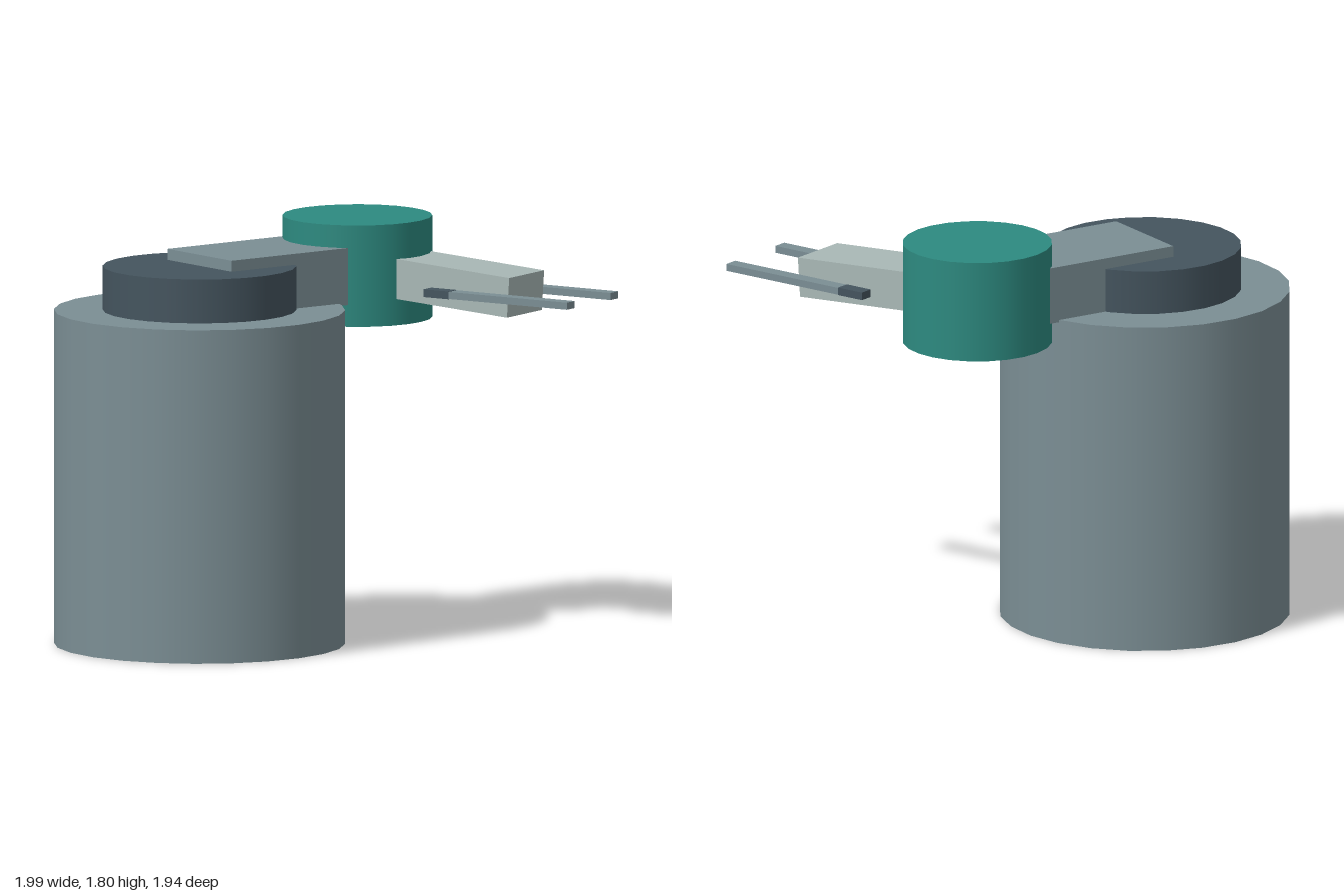
import * as THREE from 'three';

const paint = (name, color) => {
  const m = new THREE.MeshStandardMaterial({ color });
  m.name = name;
  return m;
};

export function createModel() {
  const steel = paint('steel grey', 0x7b8e94);
  const dark = paint('dark slate', 0x44545e);
  const teal = paint('teal', 0x2d8a80);
  const pale = paint('pale grey', 0xa9b8b6);

  const model = new THREE.Group();
  model.name = 'robotArm';

  const add = (parent, name, geometry, material, x, y, z) => {
    const mesh = new THREE.Mesh(geometry, material);
    mesh.name = name;
    mesh.position.set(x, y, z);
    parent.add(mesh);
    return mesh;
  };
  const drum = (r, h) => new THREE.CylinderGeometry(r, r, h, 24);
  // Box that starts at its own origin and runs along +z
  const beam = (w, h, l) => new THREE.BoxGeometry(w, h, l).translate(0, 0, l / 2);

  const baseX = -0.368, baseZ = -0.343;
  const elbowX = 0.491, elbowY = 1.577, elbowZ = -0.259;

  // Pedestal and shoulder turntable
  add(model, 'pedestal', drum(0.632, 1.46), steel, baseX, 0.73, baseZ);
  add(model, 'shoulder', drum(0.42, 0.192), dark, baseX, 1.556, baseZ);

  // Upper arm from the shoulder axis to the elbow axis
  const dx = elbowX - baseX, dz = elbowZ - baseZ;
  const arm = add(model, 'upperArm', beam(0.457, 0.25, Math.hypot(dx, dz)), steel, baseX, 1.575, baseZ);
  arm.rotation.y = Math.atan2(dx, dz);

  // Elbow drum
  add(model, 'elbow', drum(0.325, 0.444), teal, elbowX, elbowY, elbowZ);

  // Forearm and gripper, swung about the elbow
  const gripper = new THREE.Group();
  gripper.name = 'forearmAndGripper';
  gripper.position.set(elbowX, elbowY, elbowZ);
  gripper.rotation.y = 0.249;
  model.add(gripper);

  const forearm = add(gripper, 'forearm', beam(0.281, 0.175, 0.867), pale, 0, 0, 0);
  forearm.rotation.x = 0.066;

  for (const side of [-1, 1]) {
    const label = side > 0 ? 'left' : 'right';
    add(gripper, label + 'FingerMount', beam(0.063, 0.034, 0.13), dark, side * 0.175, -0.059, 0.472);
    add(gripper, label + 'Finger', beam(0.063, 0.031, 0.608), steel, side * 0.175, -0.059, 0.602);
  }

  return model;
}
